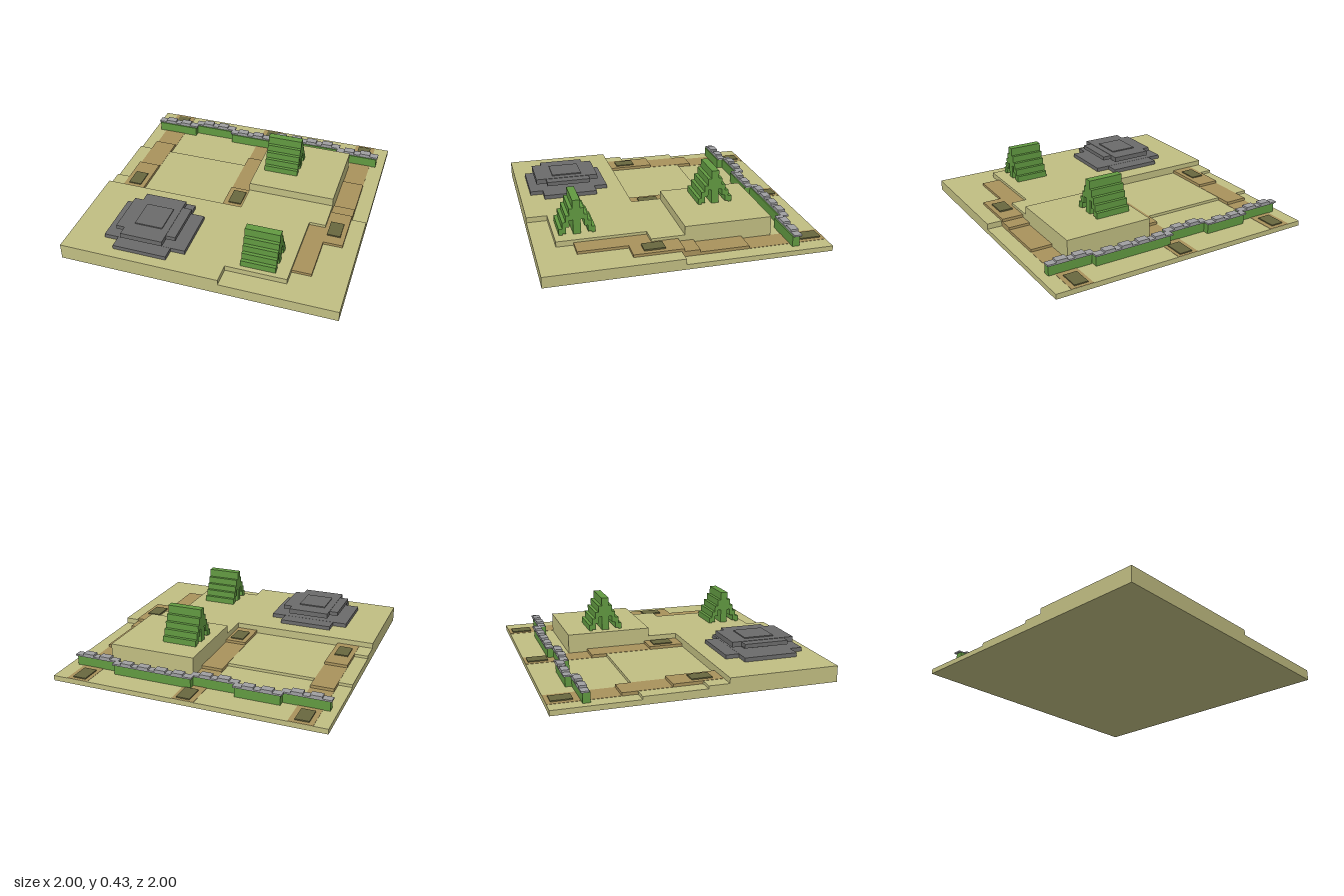
import * as THREE from 'three';

const mat = (name, color) => {
  const m = new THREE.MeshStandardMaterial({ color });
  m.name = name;
  return m;
};

export function createModel() {
  const root = new THREE.Group();
  root.name = 'terracedGround';
  const sand = mat('sand', 0xc1be82);
  const dirt = mat('dirt path', 0xa9935c);
  const olive = mat('dark olive', 0x69683f);
  const stone = mat('dark stone', 0x6b6b6b);
  const cap = mat('light stone', 0x9f9fa2);
  const green = mat('green', 0x629a41);

  // Box given by its limits on each axis
  function box(name, material, [x0, x1], [y0, y1], [z0, z1], parent = root) {
    const mesh = new THREE.Mesh(new THREE.BoxGeometry(x1 - x0, y1 - y0, z1 - z0), material);
    mesh.position.set((x0 + x1) / 2, (y0 + y1) / 2, (z0 + z1) / 2);
    mesh.name = name;
    parent.add(mesh);
    return mesh;
  }
  function group(name) {
    const g = new THREE.Group();
    g.name = name;
    root.add(g);
    return g;
  }

  // Terrain levels
  const L0 = 0.037, L1 = 0.058, L2 = 0.078, L3 = 0.097, L4 = 0.117, L5 = 0.18;
  box('groundSlab', sand, [-1, 1], [0, L0], [-1, 1]);
  box('leftTerrace', sand, [-1, 0.08], [L0, L1], [-0.4, 0.2]);
  box('leftLedge', sand, [-1, -0.9], [L1, L2], [0.05, 0.2]);
  box('frontShelf', sand, [0.08, 1], [L0, L2], [0.05, 1]);
  box('raisedBlock', sand, [0.08, 0.73], [L0, L5], [-0.65, -0.02]);

  // Main plateau with its stepped outline
  const outline = [[-1, 0.2], [0.08, 0.2], [0.08, -0.02], [0.73, -0.02], [0.73, 0.22],
    [0.61, 0.22], [0.61, 0.85], [0.17, 0.85], [0.17, 1], [-1, 1]];
  const shape = new THREE.Shape(outline.map(([x, z]) => new THREE.Vector2(x, -z)));
  const plateau = new THREE.Mesh(
    new THREE.ExtrudeGeometry(shape, { depth: L4 - L0, bevelEnabled: false }), sand);
  plateau.rotation.x = -Math.PI / 2;
  plateau.position.y = L0;
  plateau.name = 'plateau';
  root.add(plateau);

  // Stepped dirt paths
  const e = 0.002;
  for (const [x0, x1, zUp] of [[-0.9, -0.73, -0.16], [-0.08, 0.08, -0.06]]) {
    box('pathGround', dirt, [x0, x1], [L0 - e, L0 + e], [-0.999, -0.51]);
    box('pathLowStep', dirt, [x0, x1 - e], [L0, L1 + e], [-0.51, zUp]);
    box('pathHighStep', dirt, [x0, x1 - e], [L0, L2 + e], [zUp, 0.2 - e]);
  }
  box('pathGround', dirt, [0.73, 0.89], [L0 - e, L0 + e], [-0.999, -0.43]);
  box('pathLowStep', dirt, [0.73, 0.89], [L0, L1], [-0.43, -0.08]);
  box('pathMiddleStep', dirt, [0.73, 0.89], [L0, 0.076], [-0.08, 0.03]);
  box('pathHighStep', dirt, [0.75, 0.89], [L0, L3], [0.03, 0.38]);
  box('pathHighStep', dirt, [0.73, 0.75], [L0, L3], [0.03, 0.22]);
  box('pathBend', dirt, [0.61, 0.75], [L2 - e, L3], [0.22, 0.73]);

  // Dark plates lying on the paths
  for (const [x, z, y] of [[-0.817, -0.895, L0], [0.005, -0.905, L0], [0.807, -0.9, L0],
    [-0.817, 0.055, L2], [0.005, 0.055, L2], [0.807, 0.225, L3]]) {
    box('pathPlate', olive, [x - 0.049, x + 0.049], [y, y + 0.01], [z - 0.074, z + 0.074]);
  }

  // Tiered stone monument
  const monument = group('stoneMonument');
  box('baseWide', stone, [-0.735, -0.13], [L4, 0.147], [0.425, 0.825], monument);
  box('baseDeep', stone, [-0.63, -0.235], [L4, 0.146], [0.325, 0.92], monument);
  box('core', stone, [-0.535, -0.33], [0.14, 0.23], [0.51, 0.735], monument);
  box('topWide', stone, [-0.655, -0.21], [0.189, 0.219], [0.46, 0.79], monument);
  box('topDeep', stone, [-0.59, -0.28], [0.184, 0.222], [0.39, 0.865], monument);

  // Stepped A-frame tents
  function tent(x0, x1, y, z) {
    const g = group('tent');
    box('ridge', green, [x0, x1], [y, y + 0.25], [z - 0.027, z + 0.027], g);
    [0.19, 0.14, 0.093, 0.045].forEach((top, i) => {
      const a = 0.027 + i * 0.025;
      const ys = [y + Math.max(0, top - 0.085), y + top];
      box('frontSlope', green, [x0, x1], ys, [z + a, z + a + 0.025], g);
      box('backSlope', green, [x0, x1], ys, [z - a - 0.025, z - a], g);
    });
  }
  tent(0.14, 0.4, L5, -0.347);
  tent(0.27, 0.52, L4, 0.688);

  // Zigzag hedge wall with capstones and raised blocks
  const wall = group('hedgeWall');
  for (const [x0, x1, zc] of [[-0.96, -0.615, -0.763], [-0.635, -0.29, -0.808],
    [-0.31, 0.035, -0.763], [0.01, 0.62, -0.808], [0.605, 0.945, -0.763]]) {
    box('hedge', green, [x0 + 0.012, x1 - 0.008], [L0, 0.11], [zc - 0.015, zc + 0.037], wall);
    box('capstone', cap, [x0, x1], [0.11, 0.122], [zc - 0.027, zc + 0.028], wall);
    const count = Math.floor((x1 - x0) / 0.14);
    const pitch = 0.132;
    const start = (x0 + x1) / 2 - ((count - 1) * pitch) / 2;
    for (let i = 0; i < count; i++) {
      const c = start + i * pitch;
      box('merlon', cap, [c - 0.041, c + 0.041], [0.122, 0.137], [zc - 0.027, zc + 0.028], wall);
    }
  }
  return root;
}
